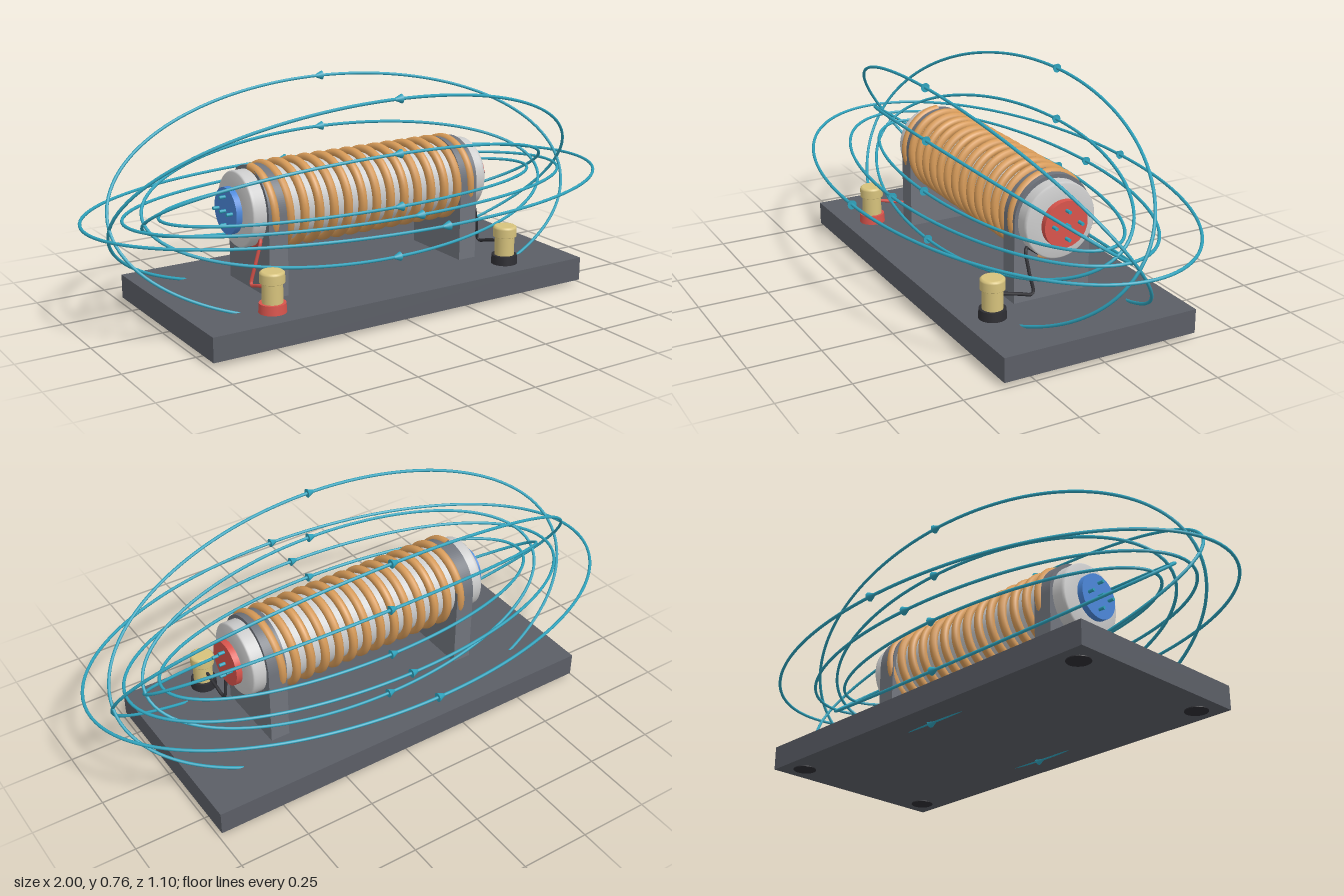
import * as THREE from 'three';

const AXIS_Y = 0.382;

export function createModel() {
  const model = new THREE.Group();
  const mat = (color) => new THREE.MeshStandardMaterial({ color });
  const grey = mat(0xcccccc), slate = mat(0x5b5e66), post = mat(0x70747c), copper = mat(0xd69a58);
  const cyan = mat(0x2fa3bd), red = mat(0xd8544c), blue = mat(0x4a86d8);
  const brass = mat(0xd6c27c), black = mat(0x2e2e33);

  const add = (parent, name, geometry, material, x = 0, y = 0, z = 0) => {
    const mesh = new THREE.Mesh(geometry, material);
    mesh.name = name;
    mesh.position.set(x, y, z);
    parent.add(mesh);
    return mesh;
  };
  const lathe = (points, sides = 32) =>
    new THREE.LatheGeometry(points.map(([r, y]) => new THREE.Vector2(r, y)), sides);
  const alongX = (radius, length, sides = 40) =>
    new THREE.CylinderGeometry(radius, radius, length, sides).rotateZ(-Math.PI / 2);

  // Base plate with flat feet
  add(model, 'basePlate', new THREE.BoxGeometry(1.48, 0.084, 0.71), slate, 0, 0.058, 0);
  for (const x of [-0.66, 0.66])
    for (const z of [-0.28, 0.28])
      add(model, 'foot', new THREE.CylinderGeometry(0.04, 0.04, 0.01, 24), black, x, 0.018, z);

  // Iron core, slightly domed at both ends
  const core = lathe([[0, -0.48], [0.08, -0.479], [0.125, -0.473], [0.13, -0.468], [0.13, -0.46],
    [0.13, 0.46], [0.13, 0.468], [0.125, 0.473], [0.08, 0.479], [0, 0.48]], 48);
  add(model, 'core', core.rotateZ(-Math.PI / 2), grey, 0, AXIS_Y, 0);

  // Copper winding
  const TURNS = 14.5, STEPS = 320, winding = [];
  for (let i = 0; i <= STEPS; i++) {
    const t = i / STEPS, a = t * TURNS * Math.PI * 2;
    winding.push(new THREE.Vector3(-0.412 + 0.824 * t, AXIS_Y + 0.138 * Math.cos(a), 0.138 * Math.sin(a)));
  }
  const coilPath = new THREE.CatmullRomCurve3(winding);
  add(model, 'coil', new THREE.TubeGeometry(coilPath, 900, 0.0155, 10), copper);

  // Arched supports holding the core
  const arch = new THREE.Shape();
  arch.moveTo(-0.143, 0.1);
  arch.lineTo(0.143, 0.1);
  arch.lineTo(0.143, AXIS_Y);
  arch.absarc(0, AXIS_Y, 0.143, 0, Math.PI, false);
  arch.closePath();
  const archGeometry = new THREE.ExtrudeGeometry(arch, { depth: 0.07, bevelEnabled: false, curveSegments: 32 })
    .translate(0, 0, -0.035).rotateY(Math.PI / 2);

  // Per end: support, pole disc, terminal and lead wire
  for (const side of [-1, 1]) {
    const end = new THREE.Group();
    end.name = side > 0 ? 'leftEnd' : 'rightEnd';
    model.add(end);
    add(end, 'support', archGeometry, post, side * 0.388, 0, 0);
    add(end, 'poleDisc', alongX(0.08, 0.022), side > 0 ? red : blue, side * 0.497, AXIS_Y, 0);

    const insulator = side > 0 ? black : red;
    const tx = side * 0.473, tz = 0.25;
    add(end, 'terminalBase', new THREE.CylinderGeometry(0.045, 0.047, 0.032, 32), insulator, tx, 0.116, tz);
    add(end, 'terminalPost', new THREE.CylinderGeometry(0.035, 0.035, 0.075, 32), brass, tx, 0.168, tz);
    add(end, 'terminalKnob', lathe([[0, 0], [0.042, 0], [0.042, 0.001], [0.042, 0.029],
      [0.041, 0.034], [0.036, 0.038], [0.034, 0.038], [0, 0.038]]), brass, tx, 0.2, tz);

    const lead = new THREE.CatmullRomCurve3([
      [0.412, 0.242, 0], [0.425, 0.262, 0.05], [0.435, 0.295, 0.106], [0.455, 0.22, 0.106],
      [0.47, 0.148, 0.1], [0.473, 0.158, 0.15], [0.473, 0.178, 0.23],
    ].map(([x, y, z]) => new THREE.Vector3(side * x, y, z)), false, 'centripetal');
    add(end, 'leadWire', new THREE.TubeGeometry(lead, 48, 0.006, 8), insulator);
  }

  // Straight field lines through the core
  for (const [y, z] of [[0, 0], [0.048, 0], [-0.048, 0], [0, 0.048], [0, -0.048]])
    add(model, 'innerFieldLine', alongX(0.006, 1.06, 10), cyan, 0, AXIS_Y + y, z);

  // Elliptical field loops: half length, half width, tilt about the core axis in degrees
  const loops = [[0.995, 0.532, 0], [0.86, 0.385, 0], [0.74, 0.267, 0],
    [0.918, 0.445, 55], [0.918, 0.445, -55], [0.8, 0.312, 35], [0.8, 0.312, -35]];
  for (const [a, b, tilt] of loops) {
    const loop = new THREE.Group();
    loop.name = 'fieldLoop';
    loop.position.y = AXIS_Y;
    loop.rotation.x = THREE.MathUtils.degToRad(tilt);
    model.add(loop);
    const points = [];
    for (let i = 0; i < 64; i++) {
      const t = (i / 64) * Math.PI * 2;
      points.push(new THREE.Vector3(a * Math.cos(t), 0, b * Math.sin(t)));
    }
    const path = new THREE.CatmullRomCurve3(points, true);
    add(loop, 'loopLine', new THREE.TubeGeometry(path, 160, 0.0055, 8, true), cyan);
    for (const z of [-b, b])
      add(loop, 'directionArrow', new THREE.ConeGeometry(0.016, 0.038, 16).rotateZ(Math.PI / 2), cyan, 0, 0, z);
  }
  return model;
}
